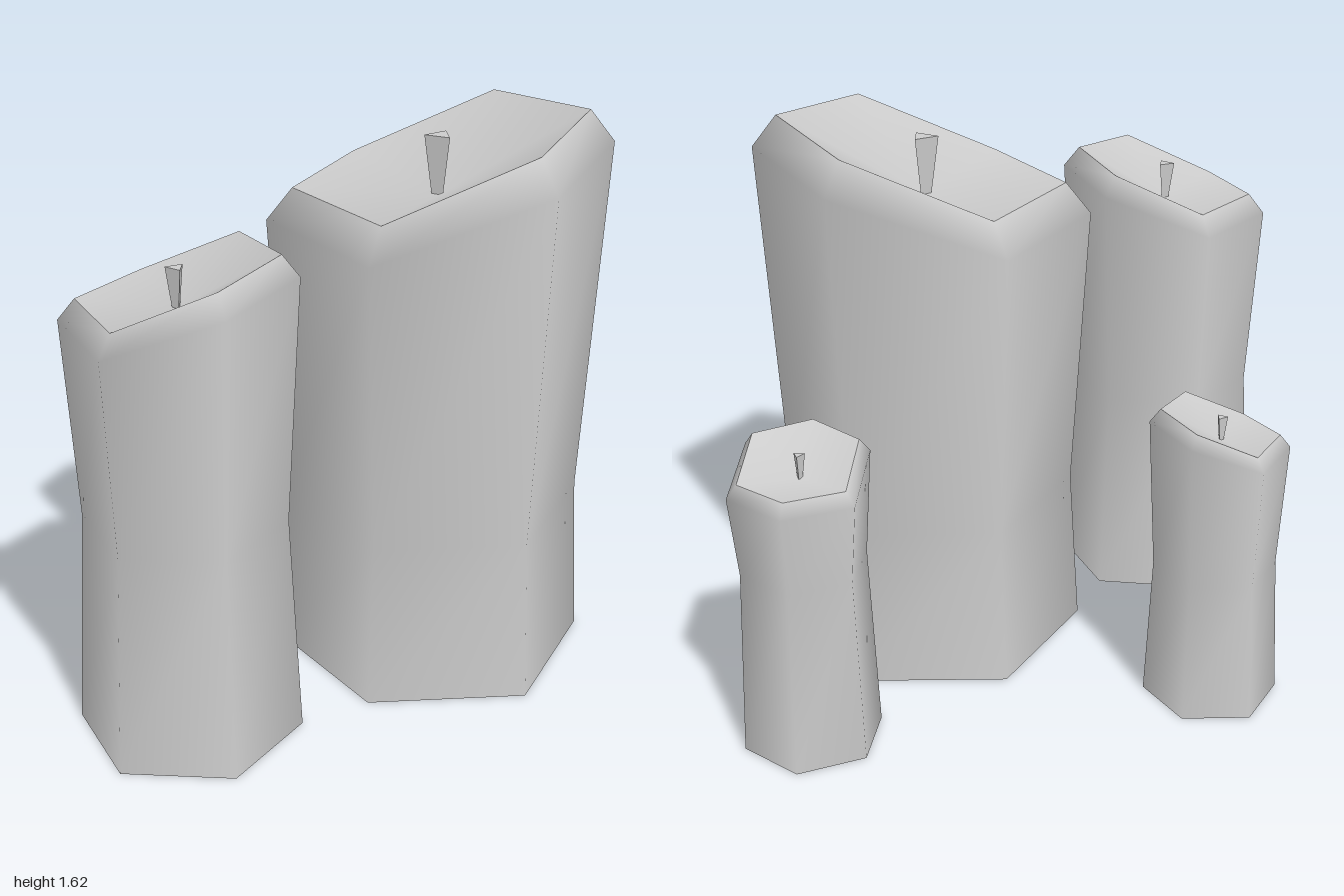
import * as THREE from 'three';

const SIDES = 6;
// Rim height above its lowest edge, per corner, starting at the highest corner (times radius)
const RISE = [0.42, 0.36, 0, 0, 0, 0.36];

const wax = new THREE.MeshStandardMaterial({ color: 0xcccccc, side: THREE.DoubleSide });
const wickMaterial = new THREE.MeshStandardMaterial({ color: 0xcccccc, flatShading: true });

function indexed(points, faces) {
  const geometry = new THREE.BufferGeometry();
  geometry.setAttribute('position', new THREE.Float32BufferAttribute(points.flat(), 3));
  geometry.setIndex(faces.flat());
  geometry.computeVertexNormals();
  return geometry;
}

function createCandle({ name, x, z, r, turn, low, waistY, base }) {
  const candle = new THREE.Group();
  candle.name = name;
  candle.position.set(x, 0, z);

  const start = THREE.MathUtils.degToRad(turn);
  const ring = (radius, heightAt) => RISE.map((rise, i) => {
    const a = start + (i / SIDES) * Math.PI * 2;
    return [radius * Math.cos(a), heightAt(rise * r), radius * Math.sin(a)];
  });

  // Waisted wall, open at the bottom, with a bevel leading to the slanted rim
  const rim = ring(r * 0.85, (rise) => low + rise);
  const rings = [
    ring(r * base, () => 0),
    ring(r * 0.89, () => waistY),
    ring(r, (rise) => low + rise - r * 0.19),
    rim,
  ];
  const wallFaces = [];
  for (let k = 0; k < rings.length - 1; k++) {
    for (let i = 0; i < SIDES; i++) {
      const j = (i + 1) % SIDES;
      const b = k * SIDES, t = b + SIDES;
      wallFaces.push([b + i, t + i, b + j], [t + i, t + j, b + j]);
    }
  }
  const body = new THREE.Mesh(indexed(rings.flat(), wallFaces), wax);
  body.name = 'waxBody';

  // Dished top surface running down to the wick
  const poolFaces = rim.map((_, i) => [SIDES, (i + 1) % SIDES, i]);
  const pool = new THREE.Mesh(indexed([...rim, [0, low - r * 0.06, 0]], poolFaces), wax);
  pool.name = 'meltedTop';

  // Three-sided wick, wider at its tip
  const wickHeight = r * 0.39;
  const wick = new THREE.Mesh(
    new THREE.CylinderGeometry(r * 0.09, r * 0.035, wickHeight, 3), wickMaterial);
  wick.name = 'wick';
  wick.position.set(-r * 0.01, low + r * 0.29 - wickHeight / 2, 0);
  wick.rotation.y = Math.PI / 2 - (start - Math.PI / 3);

  candle.add(body, pool, wick);
  return candle;
}

export function createModel() {
  const model = new THREE.Group();
  model.name = 'candleCluster';
  [
    { name: 'largeCandle', x: 0.33, z: -0.11, r: 0.483, turn: -38.5, low: 1.42, waistY: 0.48, base: 0.945 },
    { name: 'frontCandle', x: 0.027, z: 0.685, r: 0.314, turn: -30, low: 1.26, waistY: 0.64, base: 1 },
    { name: 'rightCandle', x: -0.593, z: 0.061, r: 0.198, turn: -39, low: 0.82, waistY: 0.42, base: 0.99 },
    { name: 'backCandle', x: 0.168, z: -0.826, r: 0.2, turn: 60, low: 0.82, waistY: 0.55, base: 1 },
  ].forEach((spec) => model.add(createCandle(spec)));
  return model;
}
